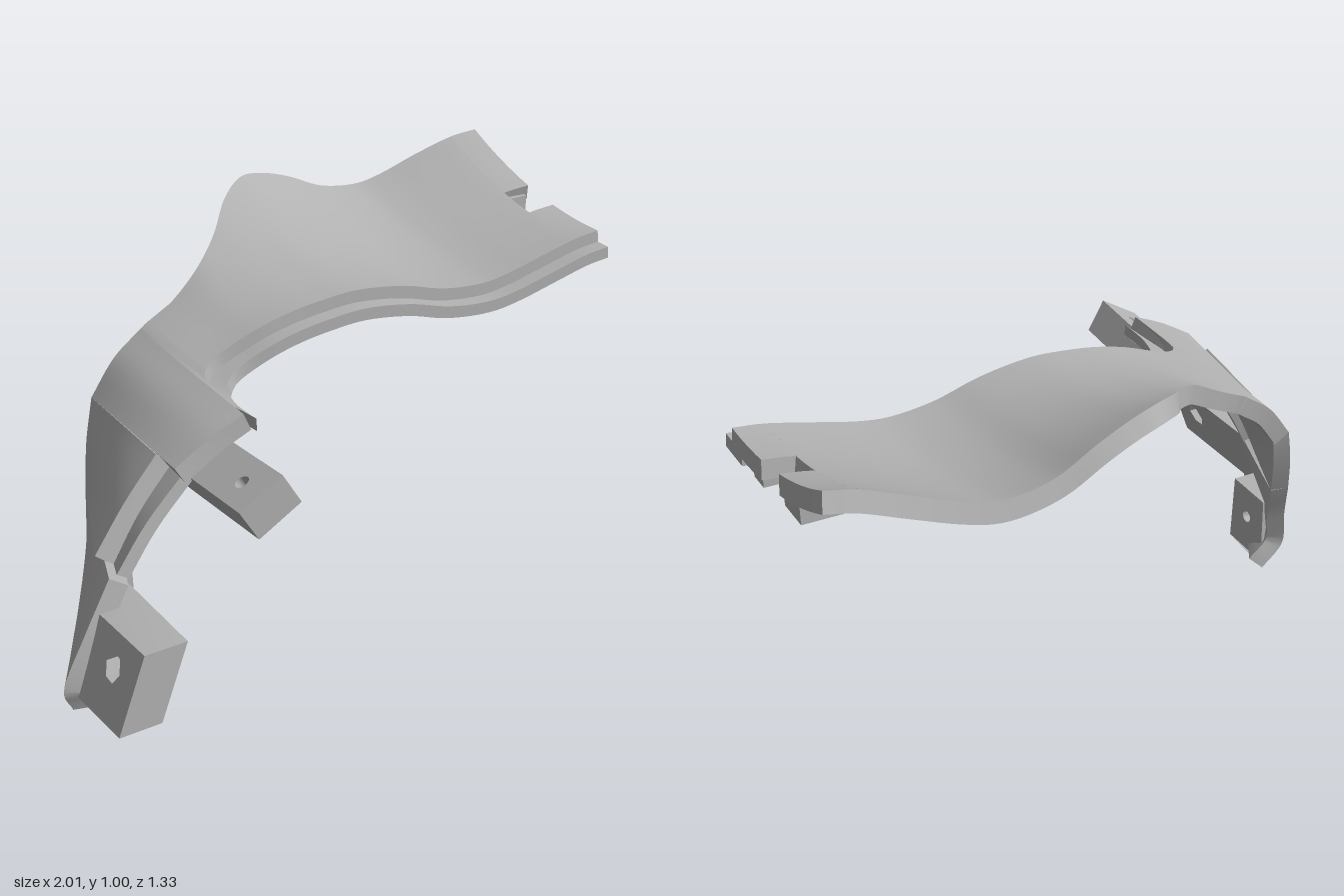
import * as THREE from 'three';
import { toCreasedNormals } from 'three/addons/utils/BufferGeometryUtils.js';

const V = (x, y, z) => new THREE.Vector3(x, y, z);

// Each station: front edge x, y, z and back edge x, y, z
const mainSpan = [
  [1, .86, .05, 1, 1, -.61], [.91, .85, .05, .91, .985, -.625], [.78, .82, .05, .78, .94, -.645],
  [.65, .79, .05, .65, .893, -.655], [.55, .78, .05, .55, .875, -.66], [.42, .795, .05, .42, .895, -.657],
  [.3, .83, .05, .3, .95, -.648], [.2, .85, .05, .2, .985, -.635], [.1, .86, .05, .1, 1, -.61],
  [0, .855, .05, 0, .97, -.535], [-.1, .843, .05, -.1, .913, -.42], [-.2, .82, .05, -.2, .86, -.335],
  [-.3, .785, .05, -.3, .8, -.29], [-.36, .765, .06, -.36, .77, -.28], [-.4, .752, .09, -.4, .752, -.275],
  [-.42, .745, .15, -.42, .742, -.27], [-.43, .748, .36, -.43, .735, -.27],
];
const kneeSpan = [
  [-.43, .748, .36, -.43, .735, -.27], [-.53, .705, .36, -.52, .67, -.26], [-.635, .645, .36, -.6, .57, -.25],
];
const notchSpan = [
  [-.635, .635, .25, -.6, .57, -.25], [-.74, .52, .26, -.64, .45, -.215], [-.835, .395, .27, -.667, .325, -.18],
];
const legSpan = [
  [-.845, .39, .38, -.667, .325, -.18], [-.93, .25, .395, -.69, .2, -.14],
  [-1, .11, .4, -.705, .08, -.12], [-.98, .035, .4, -.64, 0, -.11],
];
// Recessed joining lip along the front edge
const lipSpan = [
  ...mainSpan.slice(0, 12).map(([x, y]) => [x, y, .1, x, y, -.03]),
  [-.29, .787, .1, -.29, .787, -.03], [-.345, .768, .115, -.345, .768, -.03],
  [-.375, .757, .15, -.39, .755, -.03], [-.388, .755, .22, -.42, .745, -.03], [-.395, .765, .36, -.45, .735, -.03],
];
const notchLip = [
  [-.6, .655, .33, -.59, .63, .1], [-.74, .52, .335, -.7, .49, .1], [-.84, .39, .34, -.77, .36, .1],
];

// Solid curved sheet between two edge curves, offset along its own normal
function sheet(span, { t0 = 0, t1 = 1, w0 = 0, w1 = 1, top = 0, bottom = -.055, nt = 48, nw = 14 } = {}) {
  const curve = k => new THREE.CatmullRomCurve3(span.map(s => V(s[k], s[k + 1], s[k + 2])), false, 'catmullrom', .5);
  const front = curve(0), back = curve(3);
  const at = (t, w) => {
    const f = front.getPoint(t), b = back.getPoint(t), rise = b.y - f.y;
    const sag = rise > 0 ? rise / 2 + .01 * Math.min(1, rise / .05) : 0;
    const p = f.lerp(b, w);
    p.y -= sag * 2 * w * (1 - w);
    return p;
  };
  const e = .004, ring = 2 * (nw + 1), pos = [], idx = [];
  for (let i = 0; i <= nt; i++) {
    const t = t0 + (t1 - t0) * i / nt, upper = [], lower = [];
    for (let j = 0; j <= nw; j++) {
      const w = w0 + (w1 - w0) * j / nw, p = at(t, w);
      const dt = at(Math.min(1, t + e), w).sub(at(Math.max(0, t - e), w));
      const n = at(t, w + e).sub(at(t, w - e)).cross(dt).normalize();
      upper.push(p.clone().addScaledVector(n, top));
      lower.unshift(p.clone().addScaledVector(n, bottom));
    }
    [...upper, ...lower].forEach(p => pos.push(p.x, p.y, p.z));
  }
  const quad = (a, b, c, d) => idx.push(a, b, c, a, c, d);
  for (let i = 0; i < nt; i++) for (let j = 0; j < ring; j++) {
    const k = (j + 1) % ring, r = i * ring;
    quad(r + j, r + k, r + ring + k, r + ring + j);
  }
  for (let j = 0; j < nw; j++) {
    const r = nt * ring, o = ring - 1 - j;
    quad(o, o - 1, j + 1, j);
    quad(r + j, r + j + 1, r + o - 1, r + o);
  }
  const g = new THREE.BufferGeometry();
  g.setAttribute('position', new THREE.Float32BufferAttribute(pos, 3));
  g.setIndex(idx);
  return toCreasedNormals(g, .6);
}

// Extruded plate with an optional hole, placed by a (possibly sheared) frame
function plate(points, depth, origin, u, v, n, hole, adjust) {
  const shape = new THREE.Shape(points.map(p => new THREE.Vector2(...p)));
  if (hole) {
    const [cx, cy, r, sides] = hole, pts = [];
    for (let i = 0; i < sides; i++) {
      const a = i / sides * Math.PI * 2;
      pts.push(new THREE.Vector2(cx + r * Math.cos(a), cy + r * Math.sin(a)));
    }
    shape.holes.push(new THREE.Path(pts));
  }
  const g = new THREE.ExtrudeGeometry(shape, { depth, bevelEnabled: false });
  g.applyMatrix4(new THREE.Matrix4().makeBasis(u, v, n).setPosition(origin));
  if (adjust) {
    const p = g.attributes.position;
    for (let i = 0; i < p.count; i++) {
      const q = V().fromBufferAttribute(p, i);
      adjust(q);
      p.setXYZ(i, q.x, q.y, q.z);
    }
  }
  g.computeVertexNormals();
  return toCreasedNormals(g, .5);
}

export function createModel() {
  const group = new THREE.Group();
  const grey = new THREE.MeshStandardMaterial({ color: 0xb2b2b2 });
  grey.name = 'plain grey';
  const add = (name, geometry) => {
    const m = new THREE.Mesh(geometry, grey);
    m.name = name;
    group.add(m);
    return m;
  };
  const box = (name, x0, x1, y0, y1, z0, z1) =>
    add(name, new THREE.BoxGeometry(x1 - x0, y1 - y0, z1 - z0))
      .position.set((x0 + x1) / 2, (y0 + y1) / 2, (z0 + z1) / 2);

  // Curved shell, with a slot cut into its straight end
  const slot = 1 / (mainSpan.length - 1);
  add('mainShell', sheet(mainSpan, { t0: slot, nt: 90 }));
  add('endShellFront', sheet(mainSpan, { t1: slot, w1: .34, nt: 4, nw: 6 }));
  add('endShellBack', sheet(mainSpan, { t1: slot, w0: .54, nt: 4, nw: 8 }));
  add('kneeShell', sheet(kneeSpan, { nt: 12 }));
  add('notchShell', sheet(notchSpan, { nt: 14 }));
  add('legShell', sheet(legSpan, { nt: 20 }));

  // Stepped joining lip
  add('frontLip', sheet(lipSpan, { top: -.038, bottom: -.075, nt: 90, nw: 3 }));
  add('notchLip', sheet(notchLip, { top: -.035, bottom: -.07, nt: 10, nw: 3 }));

  // Upper bracket with a bolt hole
  add('upperBracket', plate([[0, .2], [.145, .2], [.145, .615], [0, .615]], .11, V(-.585, .556, 0),
    V(.86, .5, 0), V(0, .12, 1), V(.5, -.86, 0), [.07, .52, .02, 16]));

  // Lower bracket with a hexagonal nut hole, its outer face stopping at the shell
  add('lowerBracket', plate([[.16, .08], [.655, .11], [.645, .325], [.16, .3]], .12, V(-.885, 0, 0),
    V(0, 0, 1), V(.4, 1, 0), V(-1, 0, 0), [.53, .23, .038, 6], q => {
      if (q.z < .2 && q.x < -.885 - .06 + .4 * q.y) q.z = .37;
    }));

  // Foot boss with a screw hole, its hidden side following the shell
  add('footBoss', plate([[-.085, .008], [.09, .018], [.08, .235], [-.08, .225]], .1, V(-.65, 0, 0),
    V(0, 0, 1), V(0, 1, 0), V(-1, 0, 0), [.005, .13, .02, 16], q => {
      if (q.x < -.7) q.x = -.718 - .5 * q.z + (q.y < .05 ? .04 : 0);
    }));

  // Stiffening ribs beneath the arch
  add('archRib', plate([[0, .775], [-.4, .83], [-.57, .93], [-.57, .965], [-.4, .9], [-.2, .845], [0, .83]], .02,
    V(.12, 0, 0), V(-.05, 0, 1), V(0, 1, 0), V(-1, 0, 0)));
  box('crossRib', .04, .24, .77, .82, -.01, .01);

  // Small blocks on either side of the end slot
  box('slotBlockFront', .86, .99, .77, .825, -.14, -.07);
  box('slotBlockBack', .86, .99, .8, .865, -.41, -.3);
  return group;
}
